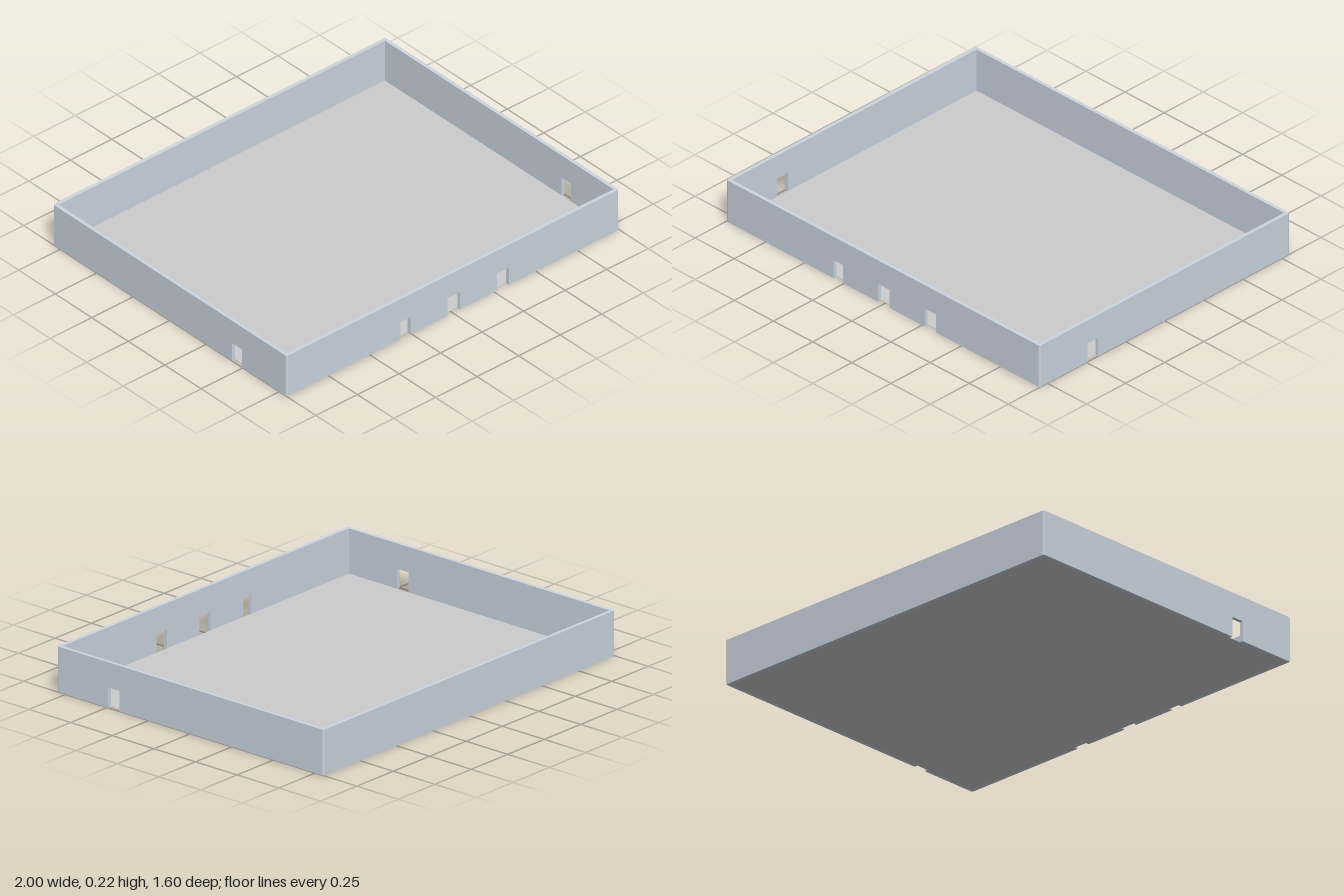
import * as THREE from 'three';

const W = 2, D = 1.6, H = 0.221, T = 0.018; // outer size, wall height and thickness

export function createModel() {
  const model = new THREE.Group();
  const wallMat = new THREE.MeshStandardMaterial({ color: 0xcbd5e1 });
  const floorMat = new THREE.MeshStandardMaterial({ color: 0xcccccc });

  const add = (name, geometry, material, x, y, z, turn = 0) => {
    const mesh = new THREE.Mesh(geometry, material);
    mesh.name = name;
    mesh.position.set(x, y, z);
    mesh.rotation.y = turn;
    model.add(mesh);
  };

  // Straight wall whose outline steps around its doorways: [start, end, height]
  const wall = (length, doors = []) => {
    const s = new THREE.Shape();
    s.moveTo(-length / 2, 0);
    for (const [a, b, h] of doors) {
      s.lineTo(a, 0);
      s.lineTo(a, h);
      s.lineTo(b, h);
      s.lineTo(b, 0);
    }
    s.lineTo(length / 2, 0);
    s.lineTo(length / 2, H);
    s.lineTo(-length / 2, H);
    return new THREE.ExtrudeGeometry(s, { depth: T, bevelEnabled: false }).translate(0, 0, -T / 2);
  };

  const cx = (W - T) / 2, cz = (D - T) / 2; // wall centre lines

  // Floor slab between the walls
  add('floor', new THREE.BoxGeometry(W - 2 * T, 0.002, D - 2 * T), floorMat, 0, 0.001, 0);

  // Front wall with three doorways, plain back wall
  const frontDoors = [[-0.315, -0.256, 0.096], [-0.032, 0.043, 0.096], [0.267, 0.337, 0.096]];
  add('frontWall', wall(2 * cx, frontDoors), wallMat, 0, 0, cz);
  add('backWall', wall(2 * cx), wallMat, 0, 0, -cz);

  // Side walls, each with one doorway near the front
  const sideWall = wall(2 * cz, [[-0.493, -0.425, 0.099]]);
  add('leftWall', sideWall, wallMat, cx, 0, 0, Math.PI / 2);
  add('rightWall', sideWall, wallMat, -cx, 0, 0, Math.PI / 2);

  // Round posts close the outer corners
  const post = new THREE.CylinderGeometry(T / 2, T / 2, H, 24);
  for (const sx of [-1, 1]) {
    for (const sz of [-1, 1]) add('cornerPost', post, wallMat, sx * cx, H / 2, sz * cz);
  }
  return model;
}
